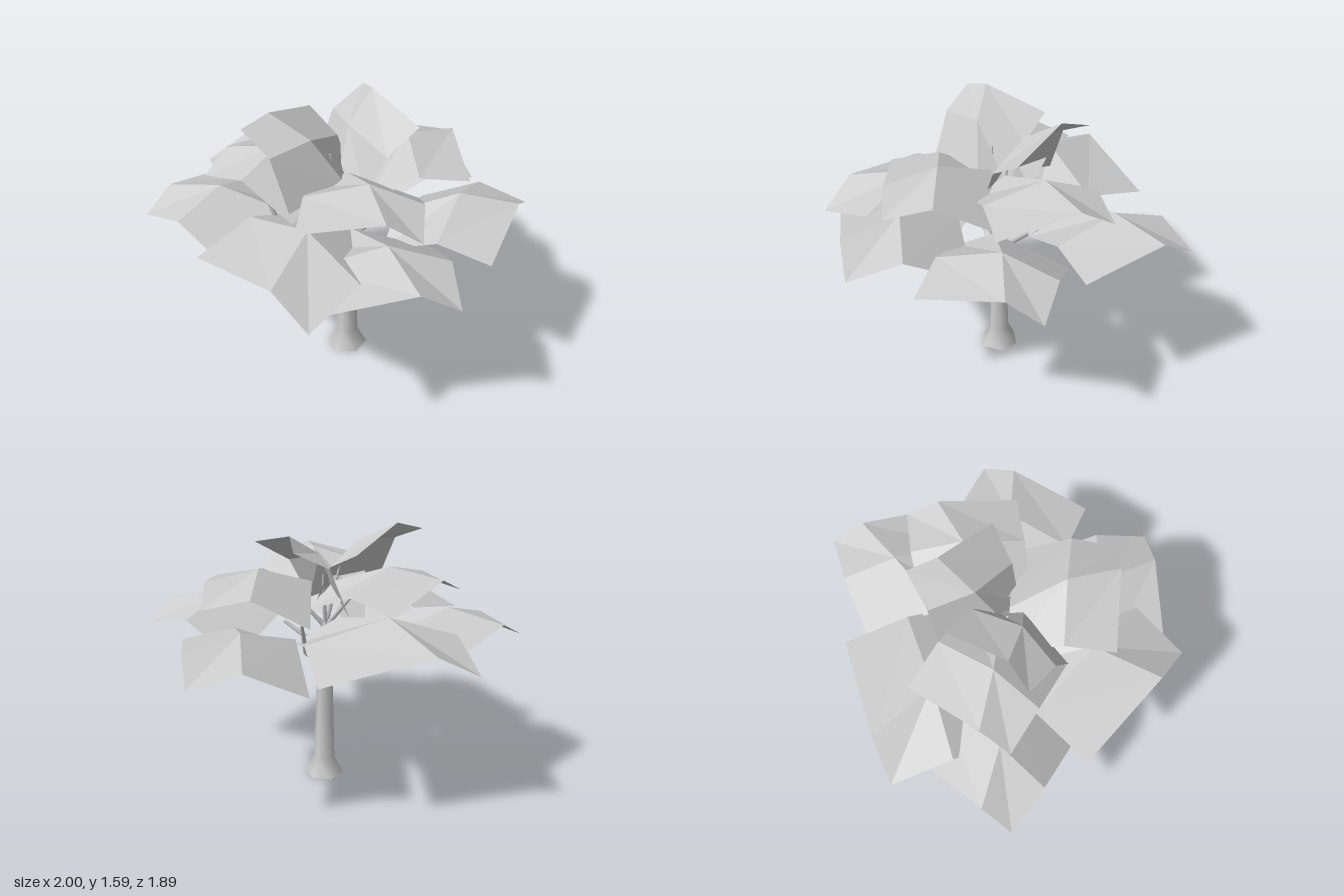
import * as THREE from 'three';

const bark = new THREE.MeshStandardMaterial({ color: 0xcccccc });
const leaf = new THREE.MeshStandardMaterial({ color: 0xcccccc, flatShading: true, side: THREE.DoubleSide });

// Folded leaf card, 3 x 3 points: across, up, outward (in card widths from its outer left corner)
const CARD = [
  [0, 0, 0], [0.29, 0.15, 0.03], [1, 0, 0],
  [0, 0.16, -0.4], [0.46, 0.3, -0.41], [1, 0.14, -0.43],
  [0.03, -0.02, -0.94], [0.68, 0.2, -0.9], [1, 0.02, -0.92],
];

// Places a card by its two outer corners and its outward pitch
function leafCard(name, left, right, pitch) {
  const origin = new THREE.Vector3(...left);
  const across = new THREE.Vector3(...right).sub(origin);
  const size = across.length();
  across.normalize();
  const flatOut = new THREE.Vector3(across.z, 0, -across.x).normalize();
  const flatUp = across.clone().cross(flatOut);
  const out = flatOut.clone().multiplyScalar(Math.cos(pitch)).addScaledVector(flatUp, Math.sin(pitch));
  const up = across.clone().cross(out);
  const positions = CARD.flatMap(([x, y, z]) => origin.clone()
    .addScaledVector(across, x * size)
    .addScaledVector(up, y * size)
    .addScaledVector(out, z * size).toArray());
  const index = [];
  for (let r = 0; r < 2; r++) {
    for (let c = 0; c < 2; c++) {
      const a = r * 3 + c;
      index.push(a, a + 4, a + 1, a, a + 3, a + 4);
    }
  }
  const geometry = new THREE.BufferGeometry();
  geometry.setAttribute('position', new THREE.Float32BufferAttribute(positions, 3));
  geometry.setIndex(index);
  geometry.computeVertexNormals();
  const mesh = new THREE.Mesh(geometry, leaf);
  mesh.name = name;
  return mesh;
}

// Tapered limb through a few points
function limb(name, points, r0, r1) {
  const group = new THREE.Group();
  group.name = name;
  const n = points.length - 1;
  for (let i = 0; i < n; i++) {
    const a = new THREE.Vector3(...points[i]);
    const b = new THREE.Vector3(...points[i + 1]);
    const radius = (k) => r0 + (r1 - r0) * k / n;
    const mesh = new THREE.Mesh(
      new THREE.CylinderGeometry(radius(i + 1), radius(i), a.distanceTo(b), 6), bark);
    mesh.position.copy(a).lerp(b, 0.5);
    mesh.quaternion.setFromUnitVectors(new THREE.Vector3(0, 1, 0), b.sub(a).normalize());
    mesh.name = name + 'Segment';
    group.add(mesh);
  }
  return group;
}

export function createModel() {
  const tree = new THREE.Group();
  tree.name = 'tree';

  // Trunk with flared foot; the doubled point keeps the bottom edge sharp
  const profile = [[0, 0], [0.117, 0], [0.117, 0], [0.064, 0.11], [0.053, 0.45], [0.043, 0.8], [0.025, 1.0], [0, 1.01]];
  const trunk = new THREE.Mesh(
    new THREE.LatheGeometry(profile.map(([r, y]) => new THREE.Vector2(r, y)), 6), bark);
  trunk.position.set(0.012, 0, 0.1);
  trunk.rotation.y = Math.PI / 12;
  trunk.name = 'trunk';
  tree.add(trunk);

  // Main branches
  tree.add(
    limb('frontBranch', [[0.01, 0.66, 0.12], [-0.15, 0.82, 0.39], [-0.23, 1.13, 0.46]], 0.026, 0.012),
    limb('backBranch', [[0.01, 0.74, 0.08], [-0.14, 0.92, -0.14], [-0.22, 1.12, -0.22]], 0.022, 0.01),
    limb('sideBranch', [[0.02, 0.82, 0.1], [0.2, 0.98, -0.06]], 0.02, 0.01),
  );

  // Upper twigs fanning from the trunk top
  const tips = [[-0.03, 1.35, 0.17], [0.15, 1.2, 0.25], [0.1, 1.2, -0.08], [-0.15, 1.2, 0.18], [-0.03, 1.3, 0.05]];
  for (const tip of tips) tree.add(limb('twig', [[0.01, 0.97, 0.1], tip], 0.016, 0.005));

  // Foliage tiers: outer left corner, outer right corner, pitch
  const tiers = {
    lowerLeaf: [
      [[-1.0, 0.975, 0.32], [-0.67, 0.985, -0.43], 0.125],
      [[0.62, 0.97, 0.885], [-0.19, 0.985, 0.94], 0.125],
      [[0.64, 0.98, -0.7], [0.88, 0.985, -0.09], 0.16],
    ],
    lowerSmallLeaf: [
      [[-0.72, 0.98, 0.92], [-0.82, 0.985, 0.28], 0.15],
      [[0.995, 0.98, 0.27], [0.56, 0.985, 0.81], 0.15],
      [[-0.32, 0.98, -0.95], [0.27, 0.985, -0.68], 0.15],
    ],
    middleLeaf: [
      [[-0.485, 1.225, 0.66], [-0.62, 1.22, 0.06], 0.17],
      [[0.725, 1.215, 0.26], [0.27, 1.23, 0.665], 0.17],
      [[0.03, 1.22, -0.675], [0.525, 1.225, -0.32], 0.17],
    ],
    topLeaf: [
      [[-0.27, 1.53, -0.3], [0.24, 1.47, -0.22], 0.87],
      [[-0.27, 1.54, 0.55], [-0.34, 1.48, 0.04], 0.8],
    ],
  };
  for (const [name, cards] of Object.entries(tiers)) {
    for (const [left, right, pitch] of cards) tree.add(leafCard(name, left, right, pitch));
  }
  return tree;
}
